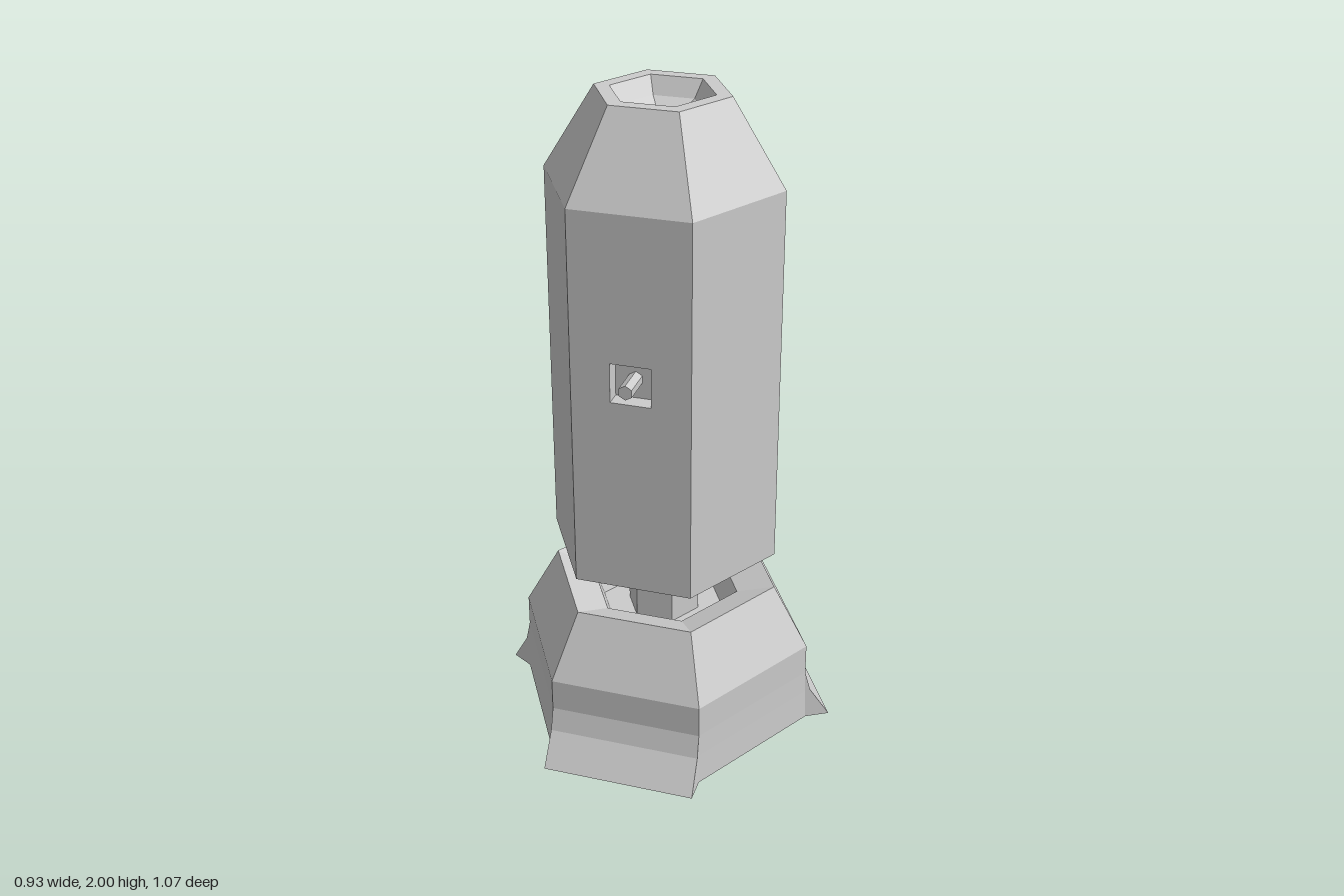
import * as THREE from 'three';

const material = new THREE.MeshStandardMaterial({ color: 0xcccccc, flatShading: true, side: THREE.DoubleSide });

function add(parent, name, geometry) {
  const mesh = new THREE.Mesh(geometry, material);
  mesh.name = name;
  parent.add(mesh);
  return mesh;
}

// Six-sided turned profile, points run [radius, height]; sides may be left out at the end
function hexTurn(points, sides = 6) {
  const profile = points.map(([r, y]) => new THREE.Vector2(r, y));
  return new THREE.LatheGeometry(profile, sides, 0, sides * Math.PI / 3);
}

// Foot of the base: alternate faces kick outward towards the ground
function flaredFoot() {
  const levels = [ // height, hexagon radius, outward kick
    [0, 0.468, 0.077],
    [0.1, 0.464, 0.017],
    [0.17, 0.462, 0],
  ];
  const positions = [0, 0, 0];
  const index = [];
  for (const [y, r, kick] of levels) {
    const put = (corner, face, out) => {
      const a = corner * Math.PI / 3, n = (face + 0.5) * Math.PI / 3;
      positions.push(r * Math.sin(a) + out * Math.sin(n), y, r * Math.cos(a) + out * Math.cos(n));
    };
    for (const face of [1, 3, 5]) {
      put(face, face, 0);
      put(face, face, kick);
      put(face + 1, face, kick);
      put(face + 1, face, 0);
    }
  }
  for (let i = 0; i < 12; i++) {
    const j = (i + 1) % 12;
    index.push(0, 1 + j, 1 + i); // underside
    for (let l = 0; l < 2; l++) {
      const a = 1 + l * 12 + i, b = 1 + l * 12 + j;
      index.push(a, b, b + 12, a, b + 12, a + 12);
    }
  }
  const g = new THREE.BufferGeometry();
  g.setAttribute('position', new THREE.Float32BufferAttribute(positions, 3));
  g.setIndex(index);
  const flat = g.toNonIndexed();
  flat.computeVertexNormals();
  return flat;
}

export function createModel() {
  const model = new THREE.Group();
  model.name = 'hexagonalCapsule';

  // Base
  const base = new THREE.Group();
  base.name = 'base';
  base.position.x = -0.022;
  model.add(base);
  add(base, 'flaredFoot', flaredFoot());
  add(base, 'baseShoulder', hexTurn([
    [0.462, 0.17], [0.462, 0.27], [0.353, 0.47], [0.235, 0.43], [0.2, 0.34], [0, 0.34],
  ]));

  const upper = new THREE.Group();
  upper.name = 'upperBody';
  upper.position.set(-0.022, 0, -0.01);
  model.add(upper);

  // Neck between base and body
  add(upper, 'neck', hexTurn([[0.113, 0.34], [0.113, 0.585]]));

  // Body: floor, five plain sides, tapered top with a dished opening
  const R = 0.353, low = 0.582, high = 1.75;
  add(upper, 'bodyFloor', hexTurn([[0, low], [R, low]]));
  add(upper, 'bodySides', hexTurn([[R, low], [R, high]], 5));
  add(upper, 'taperedTop', hexTurn([
    [R, high], [0.198, 2], [0.152, 2], [0.12, 1.95], [0.067, 1.92], [0, 1.92],
  ]));

  // Sixth side with a square socket
  const side = new THREE.Group();
  side.name = 'socketSide';
  side.rotation.y = -Math.PI / 6;
  upper.add(side);
  const apothem = R * Math.cos(Math.PI / 6), s = 0.06, cy = 1.25, depth = 0.05;
  const panel = new THREE.Shape([
    [-R / 2, low], [R / 2, low], [R / 2, high], [-R / 2, high],
  ].map(p => new THREE.Vector2(...p)));
  panel.holes.push(new THREE.Path([
    [-s, cy - s], [-s, cy + s], [s, cy + s], [s, cy - s],
  ].map(p => new THREE.Vector2(...p))));
  add(side, 'socketPanel', new THREE.ShapeGeometry(panel)).position.z = apothem;

  // Socket walls and back
  for (let i = 0; i < 4; i++) {
    const pivot = new THREE.Group();
    pivot.name = 'socketWallPivot';
    pivot.position.set(0, cy, apothem - depth / 2);
    pivot.rotation.z = i * Math.PI / 2;
    side.add(pivot);
    const wall = add(pivot, 'socketWall', new THREE.PlaneGeometry(2 * s, depth));
    wall.rotation.x = -Math.PI / 2;
    wall.position.y = -s;
  }
  add(side, 'socketBack', new THREE.PlaneGeometry(2 * s, 2 * s)).position.set(0, cy, apothem - depth);

  // Peg standing out of the socket
  const peg = add(side, 'peg', new THREE.CylinderGeometry(0.022, 0.022, 0.095, 6));
  peg.rotation.x = Math.PI / 2;
  peg.position.set(0, cy, apothem - depth + 0.0475);

  return model;
}
